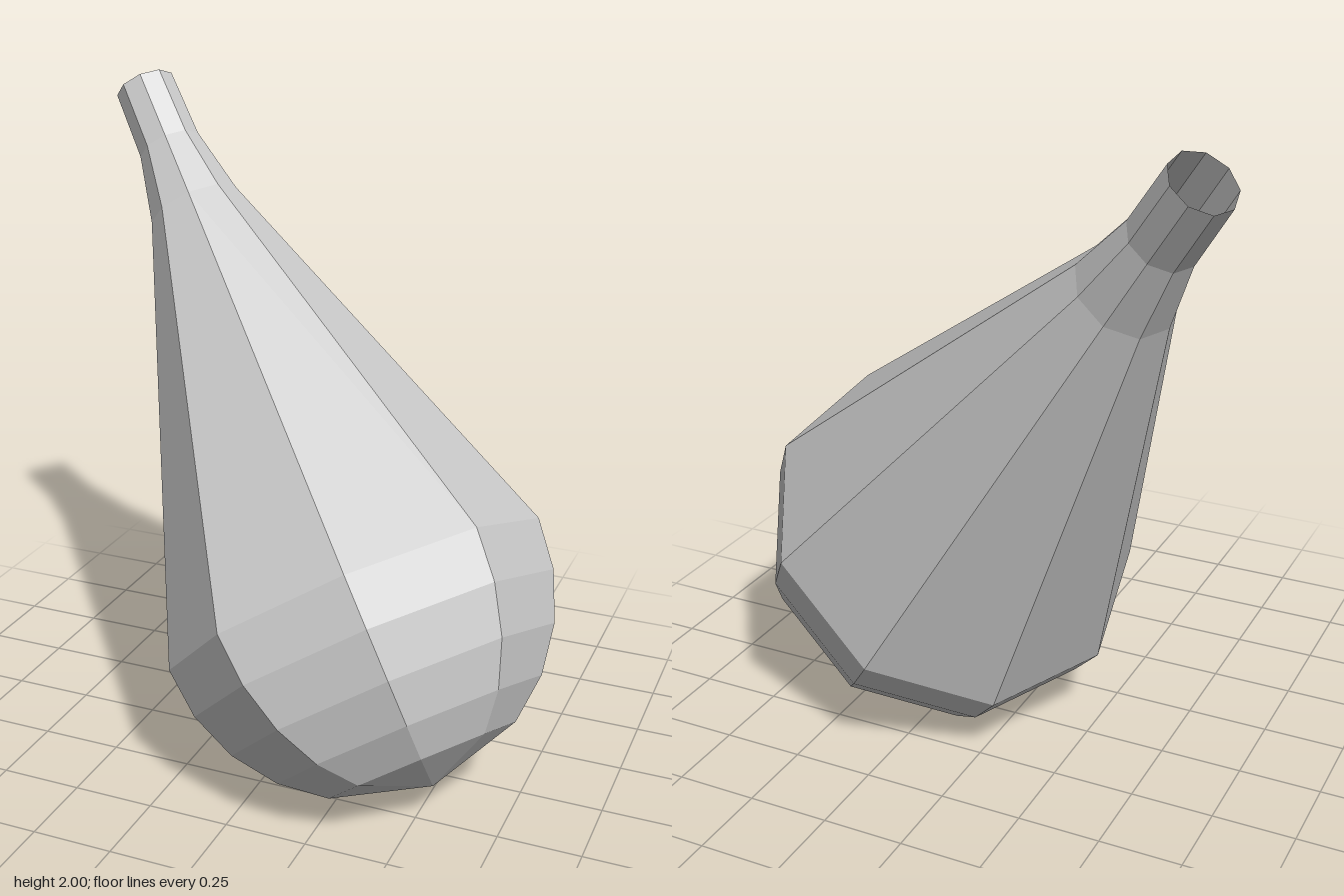
import * as THREE from 'three';

export function createModel() {
  const group = new THREE.Group();
  const material = new THREE.MeshStandardMaterial({
    color: 0xcccccc, flatShading: true, side: THREE.DoubleSide,
  });

  // profile: rounded base from the pole up, then long taper and open neck
  const R = 0.593;
  const profile = [90, 60, 45, 30, 15, 0].map((deg) => {
    const a = THREE.MathUtils.degToRad(deg);
    return new THREE.Vector2(deg === 90 ? 0 : R * Math.cos(a), -R * Math.sin(a));
  });
  profile.push(
    new THREE.Vector2(0.145, 1.33),
    new THREE.Vector2(0.1, 1.55),
    new THREE.Vector2(0.095, 1.774),
  );
  const drop = new THREE.Mesh(new THREE.LatheGeometry(profile, 9), material);
  drop.name = 'dropBody';

  // lean the axis towards the neck and turn one edge to its place
  const axis = new THREE.Vector3(-0.547, 0.765, -0.341).normalize();
  const side = new THREE.Vector3(0.49, 0.272, -0.2).normalize();
  const xDir = new THREE.Vector3().crossVectors(axis, side).normalize();
  const zDir = new THREE.Vector3().crossVectors(xDir, axis);
  drop.quaternion.setFromRotationMatrix(new THREE.Matrix4().makeBasis(xDir, axis, zDir));
  drop.position.set(0.23, 0.588, 0.06);

  group.add(drop);
  return group;
}
